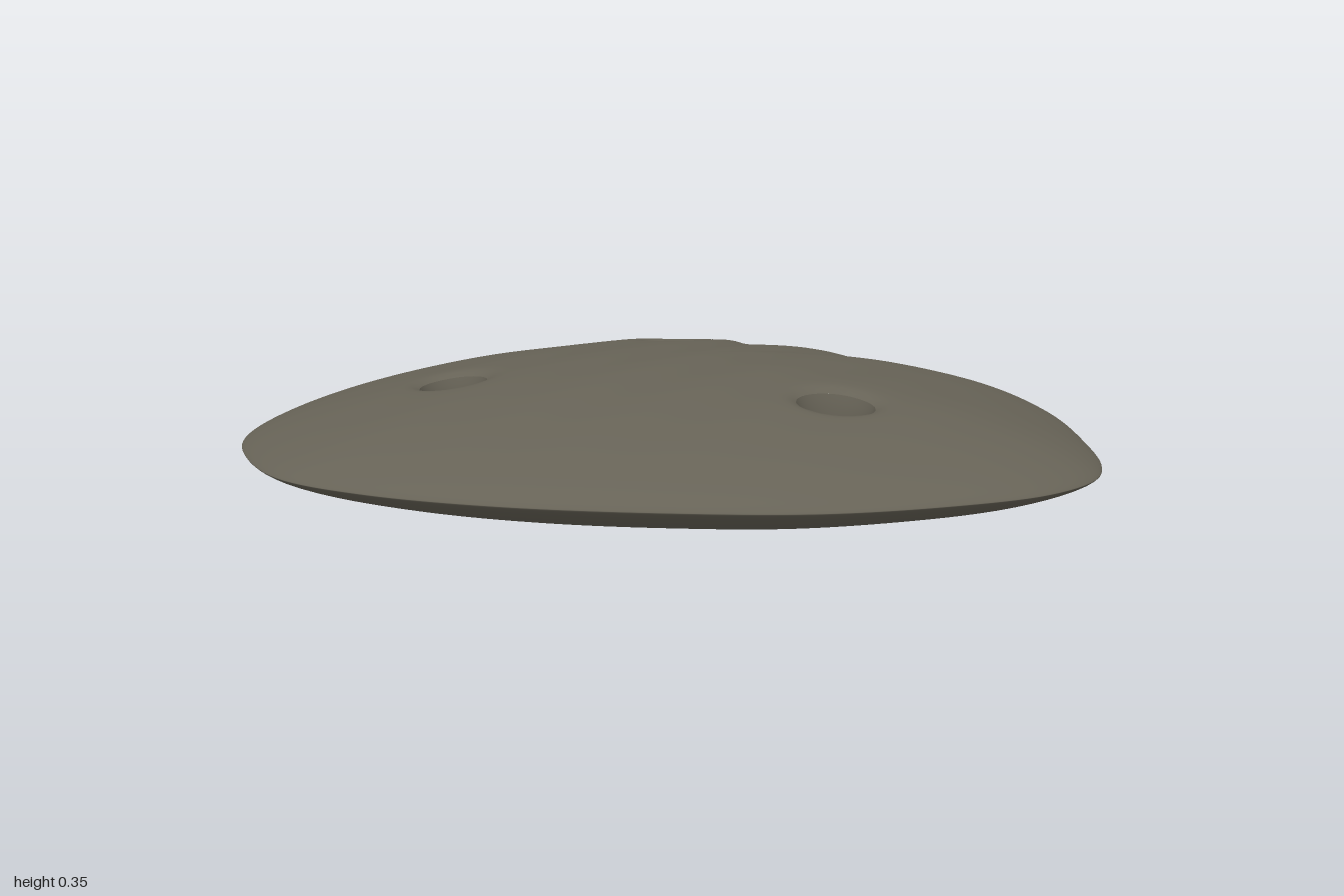
import * as THREE from 'three';
import { mergeVertices } from 'three/addons/utils/BufferGeometryUtils.js';

// Lens-shaped slab: stepped outline (x, z), clockwise from the back
const OUTLINE = [
  [0.05, -0.8], [0.14, -0.775], [0.2, -0.7], [0.27, -0.665], [0.42, -0.66], [0.5, -0.63],
  [0.57, -0.53], [0.63, -0.43], [0.7, -0.397], [0.8, -0.385], [0.88, -0.32], [0.95, -0.15],
  [0.99, 0.1], [1, 0.3], [0.97, 0.43], [0.86, 0.56], [0.66, 0.67], [0.4, 0.76], [0.1, 0.795],
  [-0.25, 0.795], [-0.55, 0.745], [-0.77, 0.65], [-0.92, 0.47], [-0.99, 0.3], [-0.99, 0.1],
  [-0.93, -0.13], [-0.8, -0.36], [-0.6, -0.55], [-0.42, -0.7], [-0.3, -0.765], [-0.15, -0.785],
];
const HOLES = [
  { x: -0.045, z: -0.36, rx: 0.065, rz: 0.062 },
  { x: -0.51, z: 0.18, rx: 0.07, rz: 0.065 },
  { x: 0.41, z: 0.315, rx: 0.077, rz: 0.06 },
];
const CX = 0.05, CZ = 0, MID = 0.172, HALF = 0.172;
const FLARE = 0.16, RINGS = 80, SEGMENTS = 200;

const curve = new THREE.CatmullRomCurve3(
  OUTLINE.map(([x, z]) => new THREE.Vector3(x, 0, z)), true, 'centripetal');
const edge = curve.getSpacedPoints(SEGMENTS);

// 0 at the centre, 1 on the outline
function radialFraction(x, z) {
  const dx = x - CX, dz = z - CZ;
  for (let k = 0; k < SEGMENTS; k++) {
    const ax = edge[k].x - CX, az = edge[k].z - CZ;
    const bx = edge[k + 1].x - CX, bz = edge[k + 1].z - CZ;
    const area = ax * bz - az * bx;
    const u = (dx * bz - dz * bx) / area, v = (ax * dz - az * dx) / area;
    if (u >= -1e-9 && v >= -1e-9) return u + v;
  }
  return 0;
}

const holeDistance = (h, x, z) => Math.hypot((x - h.x) / h.rx, (z - h.z) / h.rz);

// Height of the top (side 1) or underside (side -1), softly dished at the holes
function surfaceY(x, z, r, side) {
  let height = HALF * Math.pow(Math.max(0, 1 - r * r), 0.75);
  for (const h of HOLES) {
    const d = holeDistance(h, x, z) - 1 - FLARE;
    height -= 0.014 * Math.exp(-Math.max(0, d) / 0.2);
  }
  if (side > 0) height += 0.0015 * (1 - r) * Math.sin((x + 0.8 * z) * 24);
  return MID + side * height;
}

function makeGeometry(positions, indices) {
  const g = new THREE.BufferGeometry();
  g.setAttribute('position', new THREE.Float32BufferAttribute(positions, 3));
  g.setIndex(indices);
  const merged = mergeVertices(g, 1e-5);
  merged.computeVertexNormals();
  return merged;
}

// Both domed faces, with the hole areas left out and their rims snapped round
function slabGeometry() {
  const positions = [], indices = [];
  for (const side of [1, -1]) {
    const base = positions.length / 3, inside = [];
    for (let i = 0; i <= RINGS; i++) {
      const ring = Math.sin((i / RINGS) * Math.PI / 2);
      for (let k = 0; k <= SEGMENTS; k++) {
        let x = CX + ring * (edge[k].x - CX), z = CZ + ring * (edge[k].z - CZ), r = ring;
        const hole = HOLES.find((h) => holeDistance(h, x, z) < 1 + FLARE);
        if (hole) {
          const s = (1 + FLARE) / Math.max(1e-4, holeDistance(hole, x, z));
          x = hole.x + (x - hole.x) * s;
          z = hole.z + (z - hole.z) * s;
          r = radialFraction(x, z);
        }
        inside.push(!!hole);
        positions.push(x, i === RINGS ? MID : surfaceY(x, z, r, side), z);
      }
    }
    const addFace = (a, b, c) => {
      if (inside[a] && inside[b] && inside[c]) return;
      if (side > 0) indices.push(base + a, base + c, base + b);
      else indices.push(base + a, base + b, base + c);
    };
    for (let i = 0; i < RINGS; i++) {
      for (let k = 0; k < SEGMENTS; k++) {
        const a = i * (SEGMENTS + 1) + k, b = a + SEGMENTS + 1;
        addFace(a, b, b + 1);
        if (i > 0) addFace(a, b + 1, a + 1);
      }
    }
  }
  return makeGeometry(positions, indices);
}

// Wall of a hole, narrowest at mid height and flared at both rims
function holeGeometry(h) {
  const positions = [], indices = [], rows = 16, around = 48;
  for (let j = 0; j <= rows; j++) {
    const t = (j / rows) * 2 - 1, scale = 1 + FLARE * t ** 4;
    for (let k = 0; k <= around; k++) {
      const angle = (k / around) * Math.PI * 2;
      const c = Math.cos(angle) * h.rx, s = Math.sin(angle) * h.rz;
      const rimX = h.x + c * (1 + FLARE), rimZ = h.z + s * (1 + FLARE);
      const rimY = surfaceY(rimX, rimZ, radialFraction(rimX, rimZ), t < 0 ? -1 : 1);
      positions.push(h.x + c * scale, MID + (rimY - MID) * Math.abs(t), h.z + s * scale);
    }
  }
  for (let j = 0; j < rows; j++) {
    for (let k = 0; k < around; k++) {
      const a = j * (around + 1) + k, b = a + around + 1;
      indices.push(a, a + 1, b, a + 1, b + 1, b);
    }
  }
  return makeGeometry(positions, indices);
}

export function createModel() {
  const model = new THREE.Group();
  model.name = 'piercedStone';
  const stone = new THREE.MeshStandardMaterial({ color: 0x666256 });
  stone.name = 'greyBrownStone';

  const slab = new THREE.Mesh(slabGeometry(), stone);
  slab.name = 'slab';
  model.add(slab);

  HOLES.forEach((h, i) => {
    const wall = new THREE.Mesh(holeGeometry(h), stone);
    wall.name = `holeWall${i + 1}`;
    model.add(wall);
  });
  return model;
}
